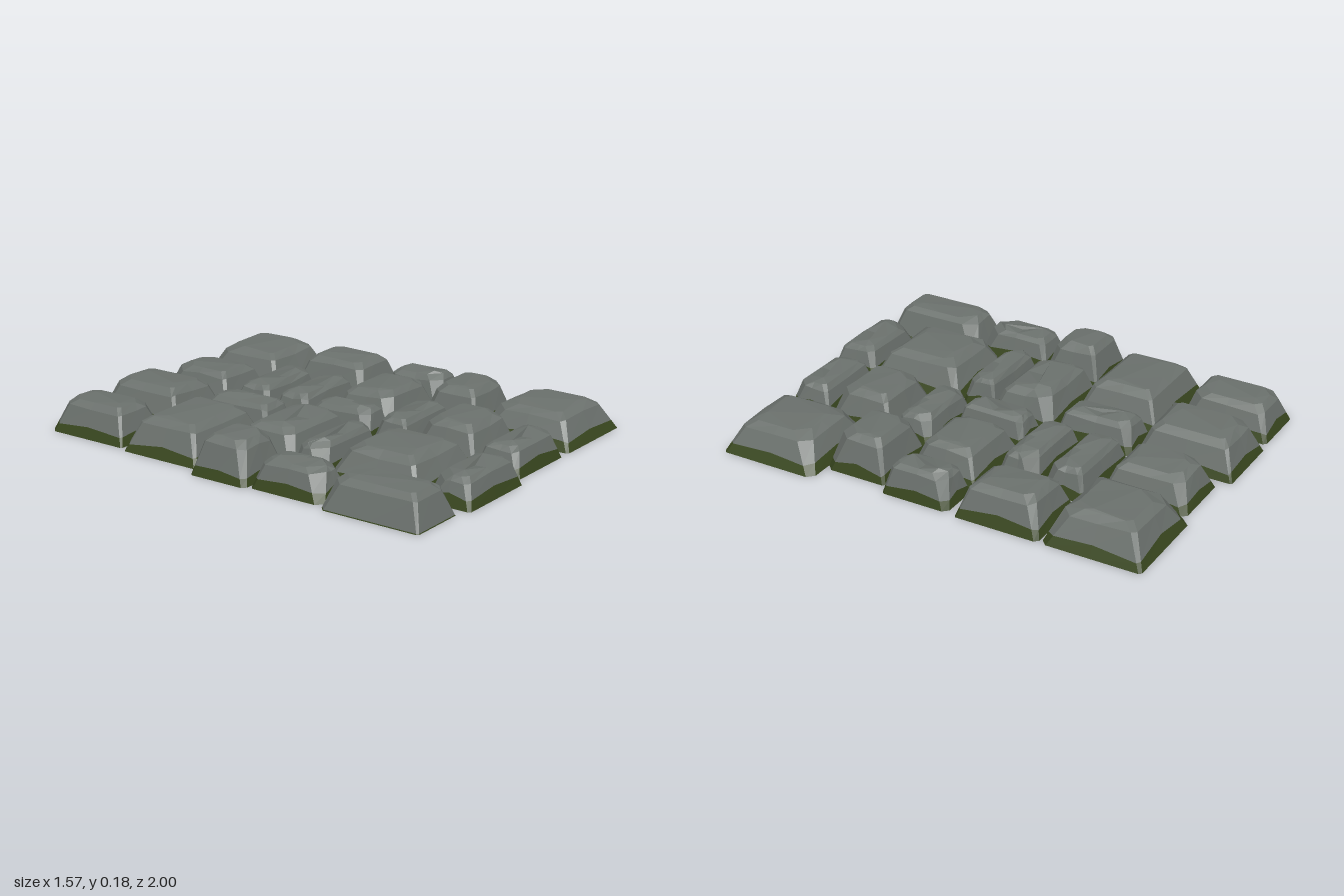
import * as THREE from 'three';

const rockMat = new THREE.MeshStandardMaterial({ color: 0x6b716d });
rockMat.name = 'grey stone';
const mossMat = new THREE.MeshStandardMaterial({ color: 0x39471f });
mossMat.name = 'dark moss';

// Paving stones: x0, x1, z0, z1, height, crease (sign = diagonal direction, 0 = nearly flat top)
const STONES = [
  [-0.70, -0.41, -0.99, -0.58, 0.150, 0],
  [-0.39, -0.04, -1.00, -0.55, 0.160, 0],
  [-0.02, 0.29, -0.95, -0.57, 0.145, 0],
  [0.30, 0.74, -0.98, -0.54, 0.155, 0],
  [-0.72, -0.25, -0.55, -0.16, 0.160, 0],
  [-0.23, -0.03, -0.54, -0.18, 0.130, 1],
  [0.00, 0.40, -0.55, -0.35, 0.130, 1],
  [0.00, 0.40, -0.33, -0.14, 0.130, 1],
  [0.43, 0.74, -0.53, -0.15, 0.155, 0],
  [-0.78, -0.49, -0.14, 0.14, 0.175, 0],
  [-0.48, -0.05, -0.15, 0.15, 0.150, -1],
  [-0.04, 0.14, -0.12, 0.21, 0.130, -1],
  [0.15, 0.53, -0.12, 0.20, 0.150, 0],
  [0.53, 0.73, -0.11, 0.20, 0.140, -1],
  [-0.76, -0.54, 0.15, 0.50, 0.130, 1],
  [-0.50, -0.09, 0.15, 0.32, 0.130, -1],
  [-0.04, 0.33, 0.22, 0.41, 0.130, 1],
  [0.34, 0.68, 0.22, 0.51, 0.175, 0],
  [-0.79, -0.52, 0.51, 0.97, 0.140, 0],
  [-0.51, -0.07, 0.33, 0.78, 0.155, 0],
  [-0.04, 0.33, 0.42, 0.74, 0.160, 0],
  [0.34, 0.78, 0.51, 0.96, 0.145, 0],
  [-0.48, -0.09, 0.78, 1.00, 0.125, -1],
  [-0.06, 0.31, 0.75, 0.96, 0.125, -1],
];
const BARE = 18; // this stone has hardly any moss on its sides

function seeded(seed) {
  let s = seed * 7919 + 17;
  return () => ((s = (s * 16807) % 2147483647) / 2147483647);
}

const V = (x, y, z) => new THREE.Vector3(x, y, z);

// Flat-faceted mesh from a list of triangles
function facetMesh(name, tris, material) {
  const geo = new THREE.BufferGeometry().setFromPoints(tris);
  geo.computeVertexNormals();
  const mesh = new THREE.Mesh(geo, material);
  mesh.name = name;
  return mesh;
}

// Rectangle with cut corners and a point midway along each side, anticlockwise from above
function outline([x0, x1, z0, z1], inset, cuts, height) {
  const a = x0 + inset, b = x1 - inset, c = z0 + inset, d = z1 - inset;
  const mx = (a + b) / 2, mz = (c + d) / 2;
  const [p, q, r, s] = cuts;
  return [
    [a + p, d], [mx, d], [b - q, d], [b, d - q], [b, mz], [b, c + r],
    [b - r, c], [mx, c], [a + s, c], [a, c + s], [a, mz], [a, d - p],
  ].map(([x, z]) => V(x, height(x, z), z));
}

function wall(tris, low, high) {
  low.forEach((p, i) => {
    const j = (i + 1) % low.length;
    tris.push(p, low[j], high[j], p, high[j], high[i]);
  });
}

// Top face fanned from the two ends of a crease, with a small chipped ledge beside it
function cap(tris, loop, a, b, chip) {
  const n = loop.length;
  const nearest = (i) => {
    const mid = loop[i].clone().add(loop[(i + 1) % n]).multiplyScalar(0.5);
    return mid.distanceTo(a) < mid.distanceTo(b) ? a : b;
  };
  let chipped = false;
  loop.forEach((v, i) => {
    const p = nearest((i + n - 1) % n), q = nearest(i);
    if (p !== q) {
      if (chip > 0 && !chipped) {
        const m = a.clone().add(b).multiplyScalar(0.5).lerp(v, 0.12);
        m.y -= chip;
        tris.push(p, v, m, m, v, q, p, m, q);
        chipped = true;
      } else tris.push(p, v, q);
    }
    tris.push(q, v, loop[(i + 1) % n]);
  });
}

function makeStone(spec, index) {
  const [x0, x1, z0, z1, h, crease] = spec;
  const rnd = seeded(index + 1);
  const w = x1 - x0, d = z1 - z0, cx = (x0 + x1) / 2, cz = (z0 + z1) / 2;
  const size = Math.min(w, d);
  const cuts = [0, 1, 2, 3].map(() => 0.012 + 0.045 * rnd() ** 2);
  const tiltX = (rnd() - 0.5) * 0.05, tiltZ = (rnd() - 0.5) * 0.05;
  const slope = (x, z) => (x - cx) * tiltX + (z - cz) * tiltZ;

  // Cross-sections from the ground to the worn top
  const base = outline(spec, 0, cuts.map((c) => c * 0.6), () => 0);
  const shoulder = outline(spec, 0.12 * size ** 0.9, cuts,
    (x, z) => h * 0.8 + slope(x, z) + (rnd() - 0.5) * 0.012);
  const top = outline(spec, 0.2 * size ** 0.9, cuts.map((c) => c * 1.15),
    (x, z) => h - 0.006 + slope(x, z));
  const mossLine = base.map((p, i) => {
    const y = index === BARE ? 0.004 : (i % 3 === 1 ? 0.044 : 0.03) + 0.012 * rnd();
    return p.clone().lerp(shoulder[i], y / shoulder[i].y);
  });

  // Crease across the top
  const dir = crease || (rnd() < 0.5 ? -1 : 1);
  const ex = w * (w > d ? 0.26 : 0.12), ez = dir * d * (w > d ? 0.1 : 0.24);
  const lift = h + (crease ? 0.006 : 0);
  const a = V(cx - ex, lift + slope(cx - ex, cz - ez), cz - ez);
  const b = V(cx + ex, lift + slope(cx + ex, cz + ez), cz + ez);

  const rock = [], moss = [];
  wall(moss, base, mossLine);
  const center = V(cx, 0, cz);
  base.forEach((p, i) => moss.push(center, base[(i + 1) % base.length], p));
  wall(rock, mossLine, shoulder);
  wall(rock, shoulder, top);
  cap(rock, top, a, b, crease ? 0.014 : 0);

  const stone = new THREE.Group();
  stone.name = `pavingStone${index + 1}`;
  stone.add(facetMesh('stoneBody', rock, rockMat), facetMesh('mossyBase', moss, mossMat));
  return stone;
}

export function createModel() {
  const model = new THREE.Group();
  model.name = 'stonePaving';
  STONES.forEach((spec, i) => model.add(makeStone(spec, i)));
  return model;
}
